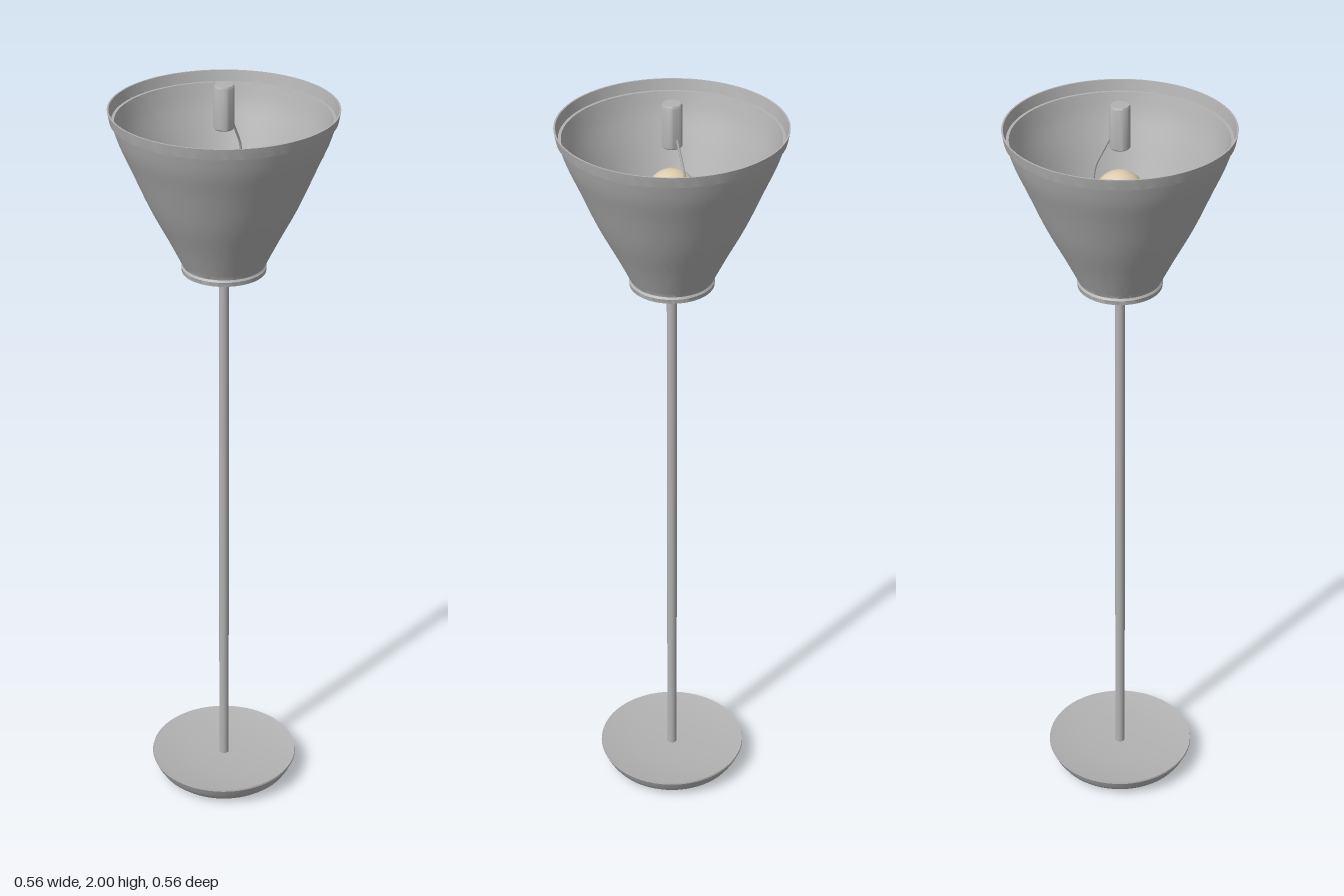
import * as THREE from 'three';
import { toCreasedNormals } from 'three/addons/utils/BufferGeometryUtils.js';

export function createModel() {
  const lamp = new THREE.Group();
  lamp.name = 'floorLamp';
  const metal = new THREE.MeshStandardMaterial({ color: 0xb2b2b2 });
  metal.name = 'greyMetal';
  const glass = new THREE.MeshStandardMaterial({ color: 0xdecdae });
  glass.name = 'creamGlass';

  const add = (name, geometry, material = metal, y = 0) => {
    const mesh = new THREE.Mesh(geometry, material);
    mesh.name = name;
    mesh.position.y = y;
    lamp.add(mesh);
  };
  // profiles run upwards on the outside, then inwards
  const turned = (points, segments = 64) => toCreasedNormals(
    new THREE.LatheGeometry(points.map(([r, y]) => new THREE.Vector2(r, y)), segments), 0.6);

  // weighted foot with a slightly dished top
  add('base', turned([
    [0, 0.005], [0.15, 0.005], [0.168, 0.011], [0.18, 0.022], [0.19, 0.038],
    [0.199, 0.058], [0.198, 0.062], [0.19, 0.06], [0.1, 0.052], [0, 0.05],
  ]));
  add('pole', new THREE.CylinderGeometry(0.013, 0.013, 1.54, 24), metal, 0.772);

  // flared shade: underside, foot ring, wall, rim band, ledge, inner wall, floor
  const wall = new THREE.SplineCurve([
    [0.102, 1.537], [0.138, 1.61], [0.184, 1.7], [0.227, 1.8], [0.255, 1.865], [0.271, 1.915],
  ].map(([r, y]) => new THREE.Vector2(r, y))).getPoints(20).map((p) => [p.x, p.y]);
  const innerWall = wall.map(([r, y]) => [r - 0.008, y]).reverse();
  add('shade', turned([
    [0, 1.532], [0.097, 1.532], [0.097, 1.521], [0.105, 1.521], [0.106, 1.532], [0.102, 1.537],
    ...wall.slice(1), [0.275, 1.915], [0.28, 1.942], [0.276, 1.942], [0.27, 1.915],
    ...innerWall, [0, 1.54],
  ], 96));

  // bulb and its socket
  add('bulbSocket', new THREE.CylinderGeometry(0.03, 0.03, 0.17, 32), metal, 1.625);
  add('bulb', new THREE.SphereGeometry(0.062, 40, 24), glass, 1.765);

  // upright knob above the bulb, held by a bent wire
  add('knob', turned([
    [0, 1.89], [0.022, 1.89], [0.025, 1.893], [0.025, 1.995], [0.022, 2], [0, 2],
  ], 32));
  const path = new THREE.CatmullRomCurve3([
    [0.018, 1.925], [0.04, 1.88], [0.06, 1.835], [0.065, 1.79], [0.065, 1.68], [0.065, 1.54],
  ].map(([x, y]) => new THREE.Vector3(x, y, 0)));
  add('knobWire', new THREE.TubeGeometry(path, 32, 0.003, 8));

  return lamp;
}
